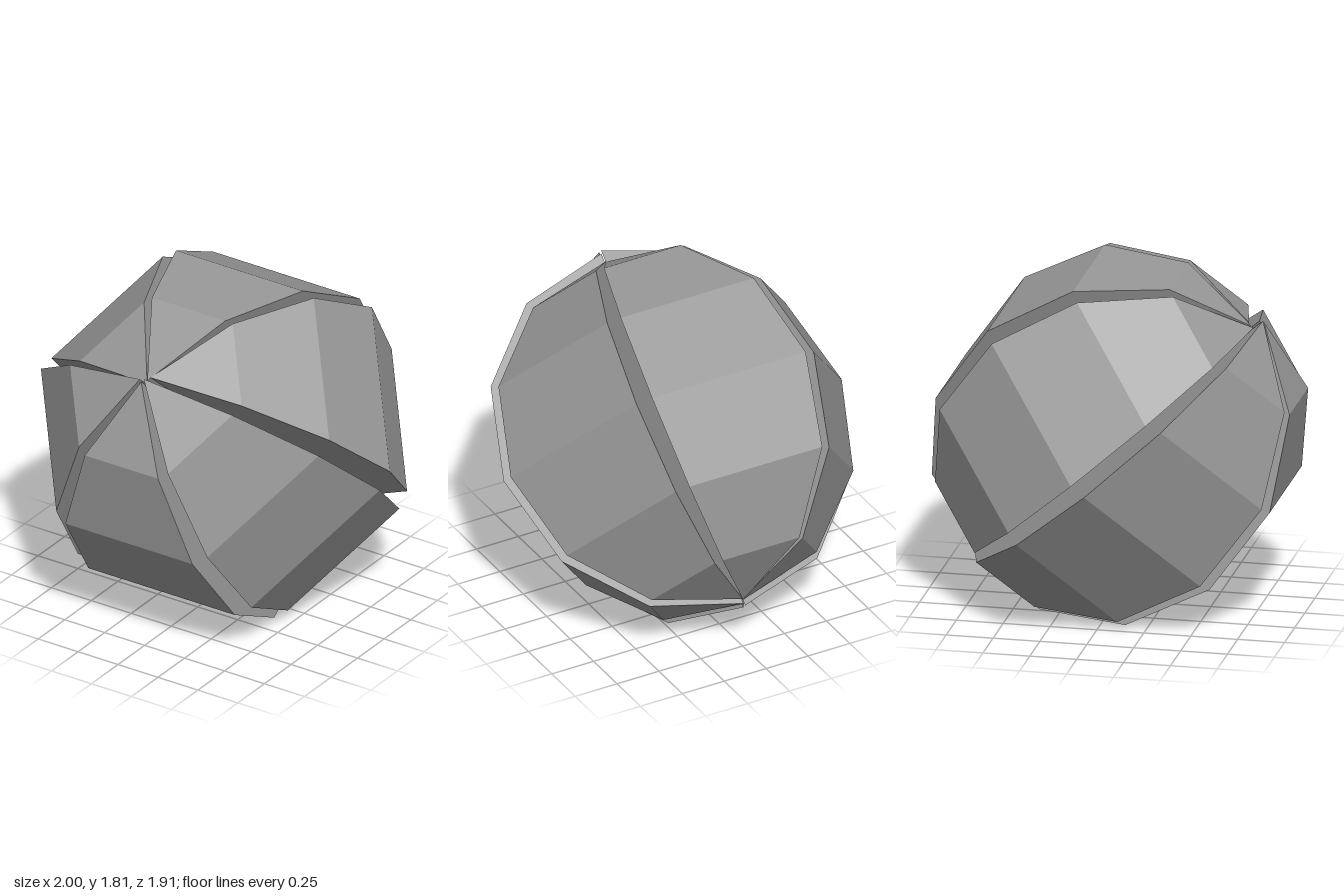
import * as THREE from 'three';

const ROWS = 6;                             // bands from pole to pole
const RADIUS = 0.993;
const HALF = THREE.MathUtils.degToRad(27.5); // half angle of one wedge

// One solid wedge of a faceted ball, centred on +z with its straight edge on the y axis.
function wedgeGeometry(halfLength) {
  const points = [];
  for (let i = 0; i <= ROWS; i++) {
    const a = (i / ROWS) * Math.PI;
    const r = RADIUS * Math.sin(a), y = halfLength * Math.cos(a);
    for (const side of [-1, 1]) {
      points.push(side * r * Math.sin(HALF), y, r * Math.cos(HALF));
    }
  }
  const index = [];
  // curved outside: triangles at the poles, quads between
  for (let i = 0; i < ROWS; i++) {
    const l = 2 * i, r = l + 1;
    if (i < ROWS - 1) index.push(l, l + 2, r + 2);
    if (i > 0) index.push(l, r + 2, r);
  }
  // two flat cut faces, fanned from the upper pole
  for (let i = 1; i < ROWS; i++) {
    index.push(1, 2 * i + 1, 2 * i + 3);
    index.push(0, 2 * i + 2, 2 * i);
  }
  const indexed = new THREE.BufferGeometry();
  indexed.setAttribute('position', new THREE.Float32BufferAttribute(points, 3));
  indexed.setIndex(index);
  const geometry = indexed.toNonIndexed();
  geometry.computeVertexNormals();
  return geometry;
}

export function createModel() {
  const model = new THREE.Group();
  model.name = 'segmentedBall';
  const material = new THREE.MeshStandardMaterial({ color: 0x999999, flatShading: true });

  // name, half length and small offset of each wedge, in the tilted frame
  const wedges = [
    ['frontSegment', 1.02, 0, 0, 0.02],
    ['lowerLeftSegment', 1.005, 0, 0, 0],
    ['upperLeftSegment', 0.97, 0.005, -0.017, -0.025],
    ['topSegment', 0.97, -0.005, -0.015, -0.005],
    ['upperRightSegment', 0.97, 0, -0.015, 0.01],
    ['lowerRightSegment', 1.02, -0.01, 0.005, 0.01],
  ];

  // the shared core line leans forward
  const ball = new THREE.Group();
  ball.name = 'segments';
  ball.position.y = 0.93;
  ball.rotation.x = 0.855;
  wedges.forEach(([name, halfLength, x, y, z], i) => {
    const wedge = new THREE.Mesh(wedgeGeometry(halfLength), material);
    wedge.name = name;
    wedge.rotation.y = (i * Math.PI) / 3;
    wedge.position.set(x, y, z);
    ball.add(wedge);
  });
  model.add(ball);
  return model;
}
